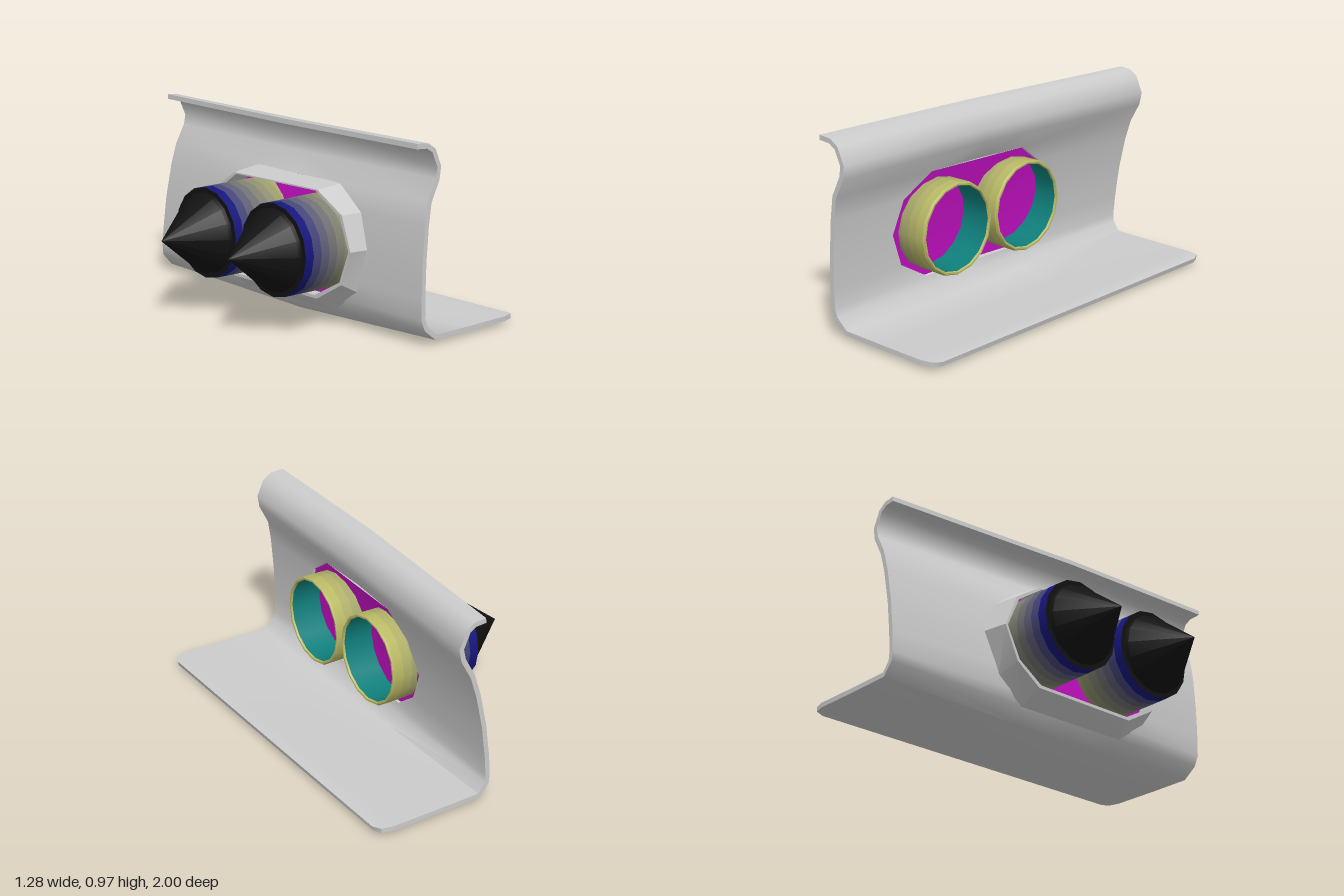
import * as THREE from 'three';
import { toCreasedNormals } from 'three/addons/utils/BufferGeometryUtils.js';

const V = (x, y, z) => new THREE.Vector3(x, y, z);
const MID = 0.085, THICK = 0.025, REAR = -0.125;

// Panel rows from lip tip to floor edge, at the front end:
// x, y, x shift at the back end, x shift at mid length, y shift at mid length
const ROWS = [
  [-0.08, 0.975, 0.15, 0.045, 0], [-0.01, 0.97, 0.14, 0.045, 0],
  [0.04, 0.94, 0.135, 0.045, 0], [0.08, 0.855, 0.133, 0.04, 0],
  [0.07, 0.79, 0.13, 0.035, 0], [0.02, 0.69, 0.125, 0.02, 0],
  [0.005, 0.58, 0.105, 0.01, 0], [-0.007, 0.41, 0.08, 0, 0],
  [-0.01, 0.24, 0.06, -0.008, 0], [-0.008, 0.14, 0.05, -0.01, 0],
  [0.01, 0.1, 0.035, -0.015, -0.012], [0.07, 0.052, 0.012, -0.015, -0.024],
  [0.3, 0.05, 0, 0, -0.014], [0.56, 0.05, 0, 0, -0.004],
  [0.62, 0.05, 0, 0, 0], [0.64, 0.045, 0, 0, 0],
];
// Opening: back and front z limits on rows 5 to 9
const FIRST = 5, LAST = 9;
const HOLE = [[-0.22, 0.39], [-0.37, 0.56], [-0.44, 0.62], [-0.36, 0.56], [-0.22, 0.39]];

// Point on the panel's inner face (depth 0) or below it
function panelPoint(i, z, depth = 0) {
  const at = (k) => {
    const r = ROWS[k];
    const t = z < MID ? (MID - z) / (MID + 1) : (z - MID) / (1 - MID);
    const endX = z < MID ? r[2] : 0;
    return new THREE.Vector2(r[0] + THREE.MathUtils.lerp(r[3], endX, t), r[1] + r[4] * (1 - t));
  };
  const p = at(i);
  const d = at(Math.min(i + 1, ROWS.length - 1)).sub(at(Math.max(i - 1, 0))).normalize();
  return V(p.x + d.y * depth, p.y - d.x * depth, z);
}

function quadGeometry(quads, crease) {
  const pos = [];
  for (const [a, b, c, d] of quads)
    for (const p of [a, b, c, a, c, d]) pos.push(p.x, p.y, p.z);
  const geo = new THREE.BufferGeometry();
  geo.setAttribute('position', new THREE.Float32BufferAttribute(pos, 3));
  return toCreasedNormals(geo, crease);
}

function part(name, geometry, color = 0xcccccc, side = THREE.DoubleSide) {
  const mesh = new THREE.Mesh(geometry, new THREE.MeshStandardMaterial({ color, side }));
  mesh.name = name;
  return mesh;
}

// Bent panel with wall, lip, floor and the opening
function panelGeometry() {
  const columns = (i) => {
    const x = ROWS[i][0];
    const end = x > 0.63 ? 0.94 : x > 0.6 ? 0.985 : 1;
    const [back, front] = HOLE[THREE.MathUtils.clamp(i - FIRST, 0, HOLE.length - 1)];
    return [-end, back, MID, front, end];
  };
  const grid = (depth) => ROWS.map((_, i) => columns(i).map((z) => panelPoint(i, z, depth)));
  const inner = grid(0), outer = grid(THICK), quads = [];
  const n = ROWS.length - 1;
  for (let i = 0; i < n; i++) {
    for (let j = 0; j < 4; j++) {
      if (i >= FIRST && i < LAST && (j === 1 || j === 2)) continue;
      quads.push([inner[i][j], inner[i][j + 1], inner[i + 1][j + 1], inner[i + 1][j]]);
      quads.push([outer[i][j], outer[i + 1][j], outer[i + 1][j + 1], outer[i][j + 1]]);
    }
    // End caps
    quads.push([inner[i][0], inner[i + 1][0], outer[i + 1][0], outer[i][0]]);
    quads.push([inner[i][4], outer[i][4], outer[i + 1][4], inner[i + 1][4]]);
  }
  // Lip tip and floor edge
  for (let j = 0; j < 4; j++) {
    quads.push([inner[0][j], outer[0][j], outer[0][j + 1], inner[0][j + 1]]);
    quads.push([inner[n][j], inner[n][j + 1], outer[n][j + 1], outer[n][j]]);
  }
  return quadGeometry(quads, 0.85);
}

// Outline of the opening as a loop, down the front side and up the back
function holeLoop(place) {
  const front = HOLE.map((h, k) => place(k + FIRST, h[1], 1));
  const back = HOLE.map((h, k) => place(k + FIRST, h[0], -1)).reverse();
  return [...front, ...back];
}

// Collar behind the wall, widening towards the panel, with its inner lining
function collarGeometry() {
  const loops = [
    holeLoop((i, z, s) => {
      const p = panelPoint(i, z + s * 0.02, THICK * 0.7);
      if (i >= 8) p.y -= i === 9 ? 0.07 : 0.05;
      return p;
    }),
    holeLoop((i, z) => V(REAR, ROWS[i][1] - (i === FIRST ? 0.01 : 0), z)),
    holeLoop((i, z, s) => V(REAR, 0.41 + (ROWS[i][1] - 0.41) * 0.94, z - s * 0.014)),
    holeLoop((i, z) => panelPoint(i, z)),
  ];
  const quads = [];
  for (let l = 0; l < loops.length - 1; l++) {
    const a = loops[l], b = loops[l + 1];
    a.forEach((p, k) => {
      const m = (k + 1) % a.length;
      quads.push([p, b[k], b[m], a[m]]);
    });
  }
  return quadGeometry(quads, 0.4);
}

// Plate closing the opening, made of strips between its two sides
function plateGeometry() {
  const quads = [];
  const p = (i, z) => panelPoint(i, z, 0.015);
  for (let i = FIRST; i < LAST; i++) {
    const [b0, f0] = HOLE[i - FIRST], [b1, f1] = HOLE[i + 1 - FIRST];
    quads.push([p(i, b0), p(i, MID), p(i + 1, MID), p(i + 1, b1)]);
    quads.push([p(i, MID), p(i, f0), p(i + 1, f1), p(i + 1, MID)]);
  }
  return quadGeometry(quads, 0.5);
}

function lathe(points, crease) {
  const geo = new THREE.LatheGeometry(points.map(([r, y]) => new THREE.Vector2(r, y)), 16);
  return toCreasedNormals(geo, crease);
}

// Open tube with a pointed tail, built along y and turned to face +x
function createPod() {
  const pod = new THREE.Group();
  const blue = new THREE.Color(0x16167c), yellow = new THREE.Color(0xb9b965);
  const start = -0.36, end = 0.145, bands = 10, h = (end - start) / bands;
  const radius = (t) => 0.23 + 0.007 * t;
  for (let k = 0; k < bands; k++) {
    const geo = new THREE.CylinderGeometry(radius((k + 1) / bands), radius(k / bands), h, 16, 1, true);
    geo.translate(0, start + (k + 0.5) * h, 0);
    const color = blue.clone().lerp(yellow, k / (bands - 1));
    pod.add(part('tubeBand', geo, color, THREE.FrontSide));
  }
  pod.add(part('tubeRim', lathe([[0.237, 0.145], [0.231, 0.155], [0.222, 0.155], [0.218, 0.145]], 0.5), yellow));
  const lining = new THREE.CylinderGeometry(0.218, 0.218, 0.505, 16, 1, true);
  lining.translate(0, -0.1075, 0);
  pod.add(part('tubeLining', lining, 0x0f7f7c, THREE.BackSide));
  pod.add(part('tailCone', lathe([[0, -0.64], [0.2, -0.38], [0.205, -0.36], [0.23, -0.36]], 0.5), 0x111111));
  pod.rotation.z = -Math.PI / 2;
  return pod;
}

export function createModel() {
  const model = new THREE.Group();
  model.name = 'panelWithTwinPods';
  model.add(part('bentPanel', panelGeometry()));
  model.add(part('collar', collarGeometry()));
  model.add(part('backingPlate', plateGeometry(), 0xc010c0));
  [['backPod', -0.167], ['frontPod', 0.335]].forEach(([name, z]) => {
    const pod = createPod();
    pod.name = name;
    pod.position.set(0, 0.41, z);
    model.add(pod);
  });
  return model;
}
